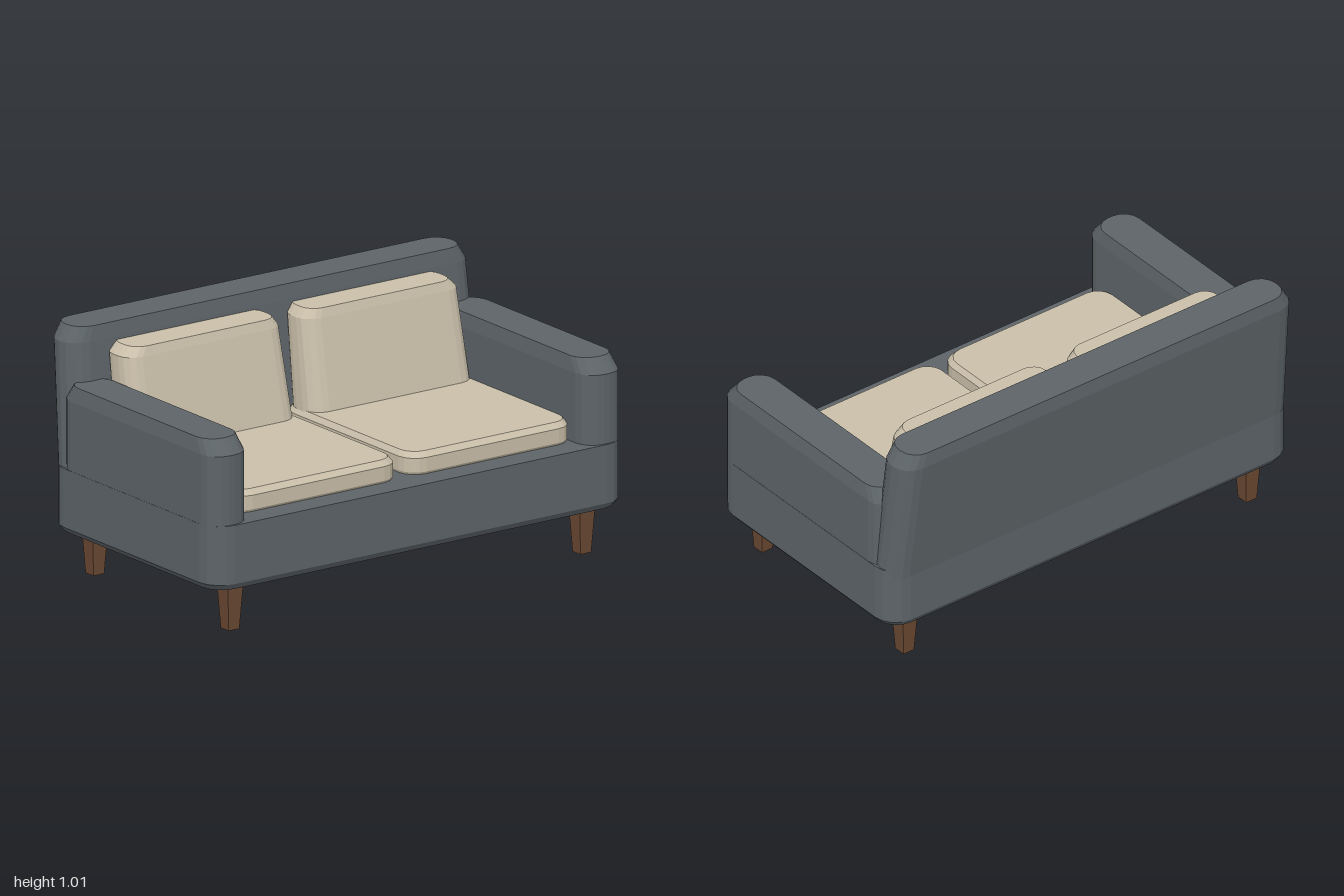
import * as THREE from 'three';

// Outline of a rounded rectangle at height y, counter-clockwise from above
function ring([y, x0, x1, z0, z1, r], steps) {
  const pts = [];
  const corners = [[x1 - r, z0 + r], [x0 + r, z0 + r], [x0 + r, z1 - r], [x1 - r, z1 - r]];
  corners.forEach(([cx, cz], q) => {
    for (let i = 0; i <= steps; i++) {
      const a = (q + i / steps) * Math.PI / 2;
      pts.push(new THREE.Vector3(cx + r * Math.cos(a), y, cz - r * Math.sin(a)));
    }
  });
  return pts;
}

// Faceted solid through sections [y, x0, x1, z0, z1, cornerRadius], bottom to top
function loft(sections, steps = 4) {
  const rings = sections.map((s) => ring(s, steps));
  const n = rings[0].length;
  const pos = [];
  const tri = (...v) => v.forEach((p) => pos.push(p.x, p.y, p.z));
  for (let k = 0; k < rings.length - 1; k++) {
    for (let i = 0; i < n; i++) {
      const j = (i + 1) % n;
      const a = rings[k][i], b = rings[k][j], c = rings[k + 1][j], d = rings[k + 1][i];
      tri(a, b, c);
      tri(a, c, d);
    }
  }
  const bottom = rings[0], top = rings[rings.length - 1];
  for (let i = 1; i < n - 1; i++) {
    tri(bottom[0], bottom[i + 1], bottom[i]);
    tri(top[0], top[i], top[i + 1]);
  }
  const geo = new THREE.BufferGeometry();
  geo.setAttribute('position', new THREE.Float32BufferAttribute(pos, 3));
  geo.computeVertexNormals();
  return geo;
}

// Mirrors sections to the other side of x = 0
const mirror = (sections, side) => sections.map(([y, x0, x1, z0, z1, r]) =>
  (side > 0 ? [y, x0, x1, z0, z1, r] : [y, -x1, -x0, z0, z1, r]));

export function createModel() {
  const sofa = new THREE.Group();
  sofa.name = 'sofa';
  const material = (name, color) => {
    const m = new THREE.MeshStandardMaterial({ color });
    m.name = name;
    return m;
  };
  const fabric = material('grey fabric', 0x5d6468);
  const cushion = material('beige fabric', 0xcabfaa);
  const wood = material('brown wood', 0x6b4932);

  const add = (name, geo, mat) => {
    const mesh = new THREE.Mesh(geo, mat);
    mesh.name = name;
    sofa.add(mesh);
    return mesh;
  };

  // Base with a narrow bevel underneath
  add('base', loft([
    [0.19, -0.98, 0.98, -0.505, 0.565, 0.09],
    [0.215, -1, 1, -0.52, 0.58, 0.1],
    [0.455, -1, 1, -0.52, 0.58, 0.1],
  ]), fabric);

  // Backrest leaning to the rear
  add('backrest', loft([
    [0.42, -0.992, 0.992, -0.52, -0.345, 0.085],
    [0.955, -0.972, 0.972, -0.58, -0.4, 0.085],
    [1.015, -0.935, 0.935, -0.575, -0.41, 0.075],
  ]), fabric);

  for (const side of [1, -1]) {
    const label = side > 0 ? 'left' : 'right';

    // Armrest with bevelled ends
    add(label + 'Armrest', loft(mirror([
      [0.25, 0.81, 0.999, -0.455, 0.57, 0.08],
      [0.74, 0.81, 0.999, -0.455, 0.57, 0.08],
      [0.8, 0.818, 0.988, -0.415, 0.52, 0.075],
    ], side)), fabric);

    // Seat cushion
    add(label + 'SeatCushion', loft(mirror([
      [0.45, 0.028, 0.815, -0.38, 0.468, 0.075],
      [0.465, 0.022, 0.82, -0.38, 0.477, 0.08],
      [0.523, 0.022, 0.82, -0.38, 0.477, 0.08],
      [0.545, 0.038, 0.808, -0.37, 0.456, 0.07],
    ], side)), cushion);

    // Back cushion leaning against the backrest
    add(label + 'BackCushion', loft(mirror([
      [0.53, 0.034, 0.822, -0.365, -0.172, 0.075],
      [0.905, 0.05, 0.81, -0.425, -0.25, 0.07],
      [0.942, 0.078, 0.772, -0.42, -0.262, 0.06],
    ], side)), cushion);

    // Tapered square legs
    for (const [end, z] of [['Front', 0.478], ['Rear', -0.416]]) {
      const leg = new THREE.CylinderGeometry(0.038 * Math.SQRT2, 0.026 * Math.SQRT2, 0.2, 4).toNonIndexed();
      leg.rotateY(Math.PI / 4);
      leg.computeVertexNormals();
      add(label + end + 'Leg', leg, wood).position.set(side * 0.85, 0.1, z);
    }
  }
  return sofa;
}
